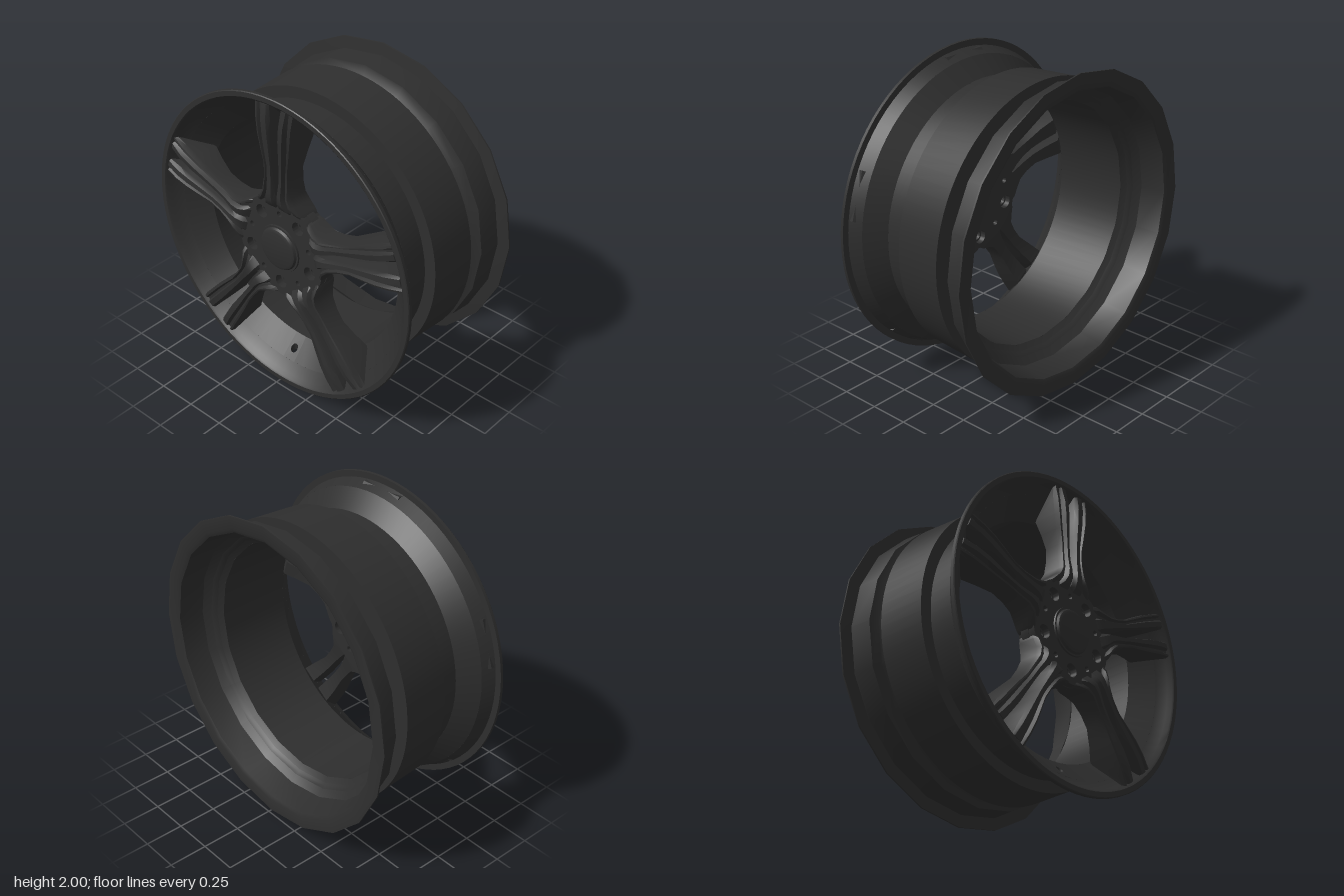
import * as THREE from 'three';
import { toCreasedNormals } from 'three/addons/utils/BufferGeometryUtils.js';

const darkMetal = new THREE.MeshStandardMaterial({ color: 0x2e2e2e, side: THREE.DoubleSide });
darkMetal.name = 'darkMetal';

function add(parent, name, geometry, crease = 0.5) {
  const mesh = new THREE.Mesh(toCreasedNormals(geometry, crease), darkMetal);
  mesh.name = name;
  parent.add(mesh);
  return mesh;
}

// Turned ring about the x axis; the profile is a list of [x, radius]
function turned(profile, segments, start = 0, length = Math.PI * 2, closed = true) {
  const pts = profile.map(([x, r]) => new THREE.Vector2(r, x));
  if (closed) pts.push(pts[0].clone());
  return new THREE.LatheGeometry(pts, segments, start, length).rotateZ(-Math.PI / 2);
}

// Plate lying across the x axis, pierced by [angle in degrees, distance, radius] holes
function plate(radius, x0, x1, holes, sides) {
  const shape = new THREE.Shape().absarc(0, 0, radius, 0, Math.PI * 2);
  for (const [deg, dist, r] of holes) {
    const a = THREE.MathUtils.degToRad(deg);
    shape.holes.push(new THREE.Path().absarc(Math.cos(a) * dist, Math.sin(a) * dist, r, 0, Math.PI * 2, true));
  }
  return new THREE.ExtrudeGeometry(shape, { depth: x1 - x0, bevelEnabled: false, curveSegments: sides })
    .rotateY(Math.PI / 2).translate(x0, 0, 0);
}

// Flare corners: outer edge pair, inner edge pair
const flare = { outer: [[-0.365, 0.925], [-0.265, 0.815]], inner: [[-0.385, 0.885], [-0.265, 0.757]] };
const gap = 0.052;

// Section of the flare at the bottom, with the valve hole through it
function valvePatch() {
  const shape = new THREE.Shape([[-gap, 0], [gap, 0], [gap, 1], [-gap, 1]].map(p => new THREE.Vector2(...p)));
  shape.holes.push(new THREE.Path().absellipse(0, 0.45, 0.029, 0.168, 0, Math.PI * 2, true));
  const geo = new THREE.ExtrudeGeometry(shape, { depth: 1, bevelEnabled: false, curveSegments: 16 });
  const p = geo.attributes.position;
  const mix = THREE.MathUtils.lerp;
  for (let i = 0; i < p.count; i++) {
    const a = p.getX(i), v = p.getY(i), w = p.getZ(i);
    const [x, r] = [0, 1].map(k => mix(
      mix(flare.inner[0][k], flare.inner[1][k], v), mix(flare.outer[0][k], flare.outer[1][k], v), w));
    p.setXYZ(i, x, -r * Math.cos(a), r * Math.sin(a));
  }
  return geo;
}

// Spoke arm stations: radius, inner edge, outer edge, front x, back x
const stations = [
  [0.27, 0.002, 0.185, -0.435, -0.31],
  [0.30, 0.003, 0.170, -0.465, -0.31],
  [0.34, 0.006, 0.130, -0.482, -0.31],
  [0.39, 0.014, 0.103, -0.482, -0.32],
  [0.47, 0.022, 0.096, -0.472, -0.33],
  [0.56, 0.025, 0.096, -0.470, -0.33],
  [0.66, 0.027, 0.116, -0.476, -0.31],
  [0.755, 0.029, 0.132, -0.482, -0.28],
  [0.85, 0.036, 0.142, -0.481, -0.335],
  [0.945, 0.045, 0.152, -0.463, -0.415],
];
// Front of the arm across its width: fraction, drop below the crest
const crest = [[0, 0.03], [0.12, 0.004], [0.45, 0], [0.56, 0.03], [0.7, 0.03], [0.8, 0.008], [0.92, 0.012], [1, 0.045]];

function armGeometry(side) {
  const pos = [], index = [], n = crest.length + 2;
  stations.forEach(([r, u0, u1, front, back], i) => {
    const soft = i === 0 || i === stations.length - 1 ? 0.5 : 1;
    const section = [[0, back], ...crest.map(([f, d]) => [f, front + d * soft]), [1, back]];
    for (const [f, x] of section) pos.push(x, r, side * (u0 + (u1 - u0) * f));
  });
  const tri = (a, b, c) => (side > 0 ? index.push(a, b, c) : index.push(a, c, b));
  for (let i = 0; i < stations.length - 1; i++) {
    for (let j = 0; j < n; j++) {
      const a = i * n + j, b = i * n + (j + 1) % n;
      tri(a, b, a + n);
      tri(b, b + n, a + n);
    }
  }
  // End caps
  const last = (stations.length - 1) * n;
  for (let j = 1; j < n - 1; j++) {
    tri(0, j + 1, j);
    tri(last, last + j, last + j + 1);
  }
  const geo = new THREE.BufferGeometry();
  geo.setAttribute('position', new THREE.Float32BufferAttribute(pos, 3));
  geo.setIndex(index);
  return geo;
}

export function createModel() {
  const wheel = new THREE.Group();
  wheel.name = 'wheelRim';
  wheel.position.y = 1;

  // Rim: front lip, flare, drop centre with raised band, faceted rear flange
  const rim = new THREE.Group();
  rim.name = 'rim';
  wheel.add(rim);
  add(rim, 'frontLip', turned([
    [-0.47, 0.995], [-0.465, 1], [-0.445, 1], [-0.445, 0.96], [-0.365, 0.925],
    [-0.385, 0.885], [-0.435, 0.94], [-0.462, 0.955], [-0.47, 0.965]], 80));
  add(rim, 'frontFlare', turned([flare.outer[0], flare.outer[1], flare.inner[1], flare.inner[0]],
    80, Math.PI / 2 + gap, Math.PI * 2 - gap * 2));
  add(rim, 'valveHole', valvePatch());
  add(rim, 'barrel', turned([
    [-0.265, 0.815], [-0.098, 0.815], [-0.098, 0.89], [0.215, 0.907], [0.215, 0.765], [-0.265, 0.757]], 80));
  add(rim, 'rearFlange', turned([
    [0.215, 0.78], [0.255, 0.81], [0.295, 0.86], [0.31, 0.915], [0.45, 0.925], [0.457, 0.925], [0.468, 1],
    [0.478, 1], [0.478, 0.92], [0.465, 0.895], [0.31, 0.865], [0.25, 0.81], [0.215, 0.768]], 20));

  // Hub: three pierced layers so the bolt holes are recessed on both faces
  const hub = new THREE.Group();
  hub.name = 'hub';
  wheel.add(hub);
  const layers = [['hubFace', 0.335, -0.435, -0.39, 0.043], ['hubCore', 0.338, -0.39, -0.335, 0.031],
    ['hubPad', 0.318, -0.335, -0.3, 0.043]];
  for (const [name, radius, x0, x1, boltRadius] of layers) {
    const holes = [];
    for (let k = 0; k < 5; k++) holes.push([54 + 72 * k, 0.245, boltRadius], [90 + 72 * k, 0.237, 0.018]);
    add(hub, name, plate(radius, x0, x1, holes, 20));
  }
  add(hub, 'centreCap', turned([
    [-0.465, 0.001], [-0.465, 0.115], [-0.458, 0.132], [-0.445, 0.14], [-0.445, 0.152], [-0.43, 0.155]],
  40, 0, Math.PI * 2, false));

  // Five twin-arm spokes
  const arms = [1, -1].map(armGeometry);
  for (let k = 0; k < 5; k++) {
    const spoke = new THREE.Group();
    spoke.name = 'spoke' + (k + 1);
    spoke.rotation.x = k * Math.PI * 2 / 5;
    arms.forEach((geo, i) => add(spoke, i ? 'rightArm' : 'leftArm', geo, 0.45));
    wheel.add(spoke);
  }

  const model = new THREE.Group();
  model.name = 'model';
  model.add(wheel);
  return model;
}
